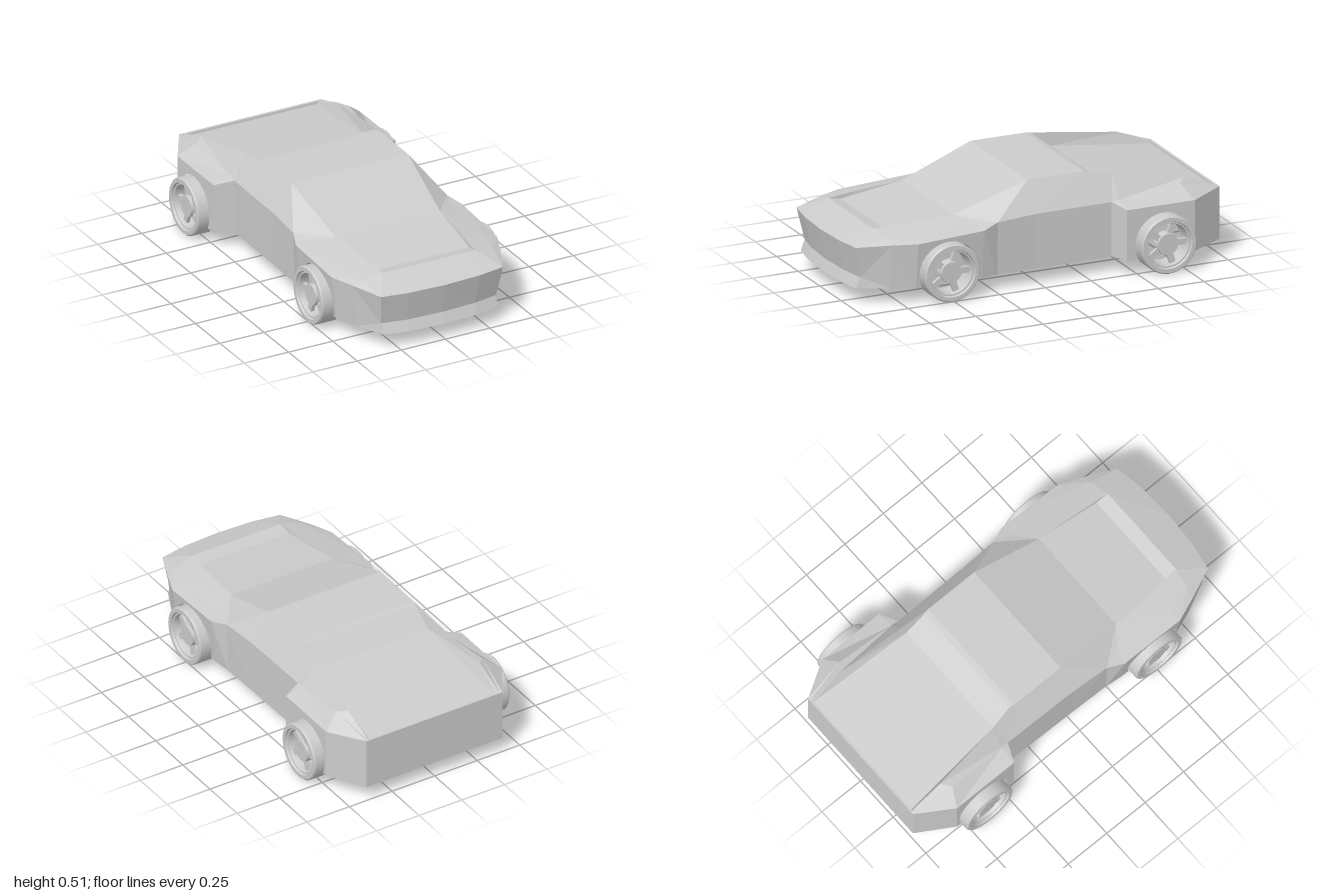
import * as THREE from 'three';
import { toCreasedNormals } from 'three/addons/utils/BufferGeometryUtils.js';

const SILL = 0.08, AXLE_Y = 0.15, ARCH_R = 0.156;
const bodyMat = new THREE.MeshStandardMaterial({ color: 0xcccccc, flatShading: true });
const wheelMat = new THREE.MeshStandardMaterial({ color: 0xcccccc });

// Collects flat faces for the left half and mirrors each one to the right.
class Panels {
  constructor() { this.pos = []; }
  face(...p) {
    for (let i = 1; i < p.length - 1; i++) {
      this.pos.push(...p[0], ...p[i], ...p[i + 1]);
      for (const [x, y, z] of [p[0], p[i + 1], p[i]]) this.pos.push(-x, y, z);
    }
  }
  // Fills a flat outline given in 2D; map turns each 2D point into 3D.
  fill(outline, map) {
    const pts = outline.map(([u, v]) => new THREE.Vector2(u, v));
    for (const t of THREE.ShapeUtils.triangulateShape(pts, [])) this.face(...t.map(i => map(outline[i])));
  }
  mesh(name) {
    const g = new THREE.BufferGeometry();
    g.setAttribute('position', new THREE.Float32BufferAttribute(this.pos, 3));
    g.computeVertexNormals();
    const m = new THREE.Mesh(g, bodyMat);
    m.name = name;
    return m;
  }
}

// Stations from front to back: a = top edge, m = crease, b = belt, d = sill
const stations = [
  { a: [0.26, 0.355, 0.83], m: [0.37, 0.333, 0.81], b: [0.42, 0.312, 0.8], d: [0.395, SILL, 0.8] },
  { a: [0.275, 0.365, 0.68], m: [0.40, 0.337, 0.68], b: [0.468, 0.315, 0.68], d: [0.44, SILL, 0.68] },
  { a: [0.295, 0.378, 0.41], m: [0.40, 0.352, 0.33], b: [0.47, 0.335, 0.32], d: [0.44, SILL, 0.32] },
  { a: [0.295, 0.378, 0.41], m: [0.435, 0.355, 0.23], b: [0.435, 0.355, 0.23], d: [0.43, SILL, 0.23] },
  { a: [0.33, 0.515, 0.02], m: [0.425, 0.365, 0.02], b: [0.425, 0.365, 0.02], d: [0.425, SILL, 0.02] },
  { a: [0.33, 0.515, -0.28], m: [0.42, 0.365, -0.4], b: [0.42, 0.365, -0.4], d: [0.42, SILL, -0.4] },
  { a: [0.347, 0.488, -0.44], m: [0.422, 0.372, -0.44], b: [0.515, 0.345, -0.44], d: [0.515, SILL, -0.44] },
  { a: [0.385, 0.425, -0.81], m: [0.43, 0.412, -0.77], b: [0.515, 0.345, -0.81], d: [0.515, SILL, -0.81] },
  { a: [0.385, 0.355, -1], m: [0.39, 0.355, -1], b: [0.4, 0.355, -1], d: [0.4, SILL, -1] },
];
const arches = { 1: { z: 0.51, xIn: 0.385, liner: true }, 6: { z: -0.64, xIn: 0.445, liner: false } };
const mid = p => [0, p[1], p[2]];
const lerp = THREE.MathUtils.lerp;

// Side panel with a round wheel opening cut up from the sill
function archPanel(P, f, r, arch) {
  const dip = Math.asin((AXLE_Y - SILL) / ARCH_R), arc = [], n = 18;
  for (let i = 0; i <= n; i++) {
    const t = lerp(Math.PI + dip, -dip, i / n);
    arc.push([-arch.z + ARCH_R * Math.cos(t), AXLE_Y + ARCH_R * Math.sin(t)]);
  }
  const map = ([u, v]) => {
    const t = (-u - f.b[2]) / (r.b[2] - f.b[2]);
    const k = (v - SILL) / (lerp(f.b[1], r.b[1], t) - SILL);
    return [lerp(lerp(f.d[0], r.d[0], t), lerp(f.b[0], r.b[0], t), k), v, -u];
  };
  P.fill([[-f.d[2], SILL], ...arc, [-r.d[2], SILL], [-r.b[2], r.b[1]], [-f.b[2], f.b[1]]], map);
  if (!arch.liner) return;
  const inner = arc.map(([u, v]) => [arch.xIn, v, -u]);
  for (let i = 0; i < n; i++) P.face(inner[i], inner[i + 1], map(arc[i + 1]), map(arc[i]));
  P.face(...inner.reverse());
}

function sides() {
  const P = new Panels();
  for (let i = 0; i < stations.length - 1; i++) {
    const f = stations[i], r = stations[i + 1];
    P.face(f.m, r.m, r.a, f.a);
    P.face(f.m, f.b, r.b, r.m);
    if (arches[i]) archPanel(P, f, r, arches[i]);
    else P.face(f.b, f.d, r.d, r.b);
  }
  const e = stations[8];
  P.face(mid(e.a), e.a, e.m, e.b, e.d, mid(e.d));
  return P.mesh('bodySides');
}

// Nose columns from the centre outward: top edge, indent, bottom edge
const noseCols = [[0, 1, 0], [0.2, 0.99, 0.19], [0.345, 0.965, 0.32]].map(([x, z, xb]) => [
  [x, 0.3, z], [lerp(x, xb, 0.8), 0.135, z - 0.035], [xb, SILL, z - 0.012]]);

function nose() {
  const P = new Panels(), s = stations[0];
  for (let c = 0; c < 2; c++)
    for (let k = 0; k < 2; k++)
      P.face(noseCols[c][k], noseCols[c][k + 1], noseCols[c + 1][k + 1], noseCols[c + 1][k]);
  const [n0, n1, n2] = noseCols.map(c => c[0]);
  P.face(n0, n1, s.a, mid(s.a));
  P.face(n1, n2, s.a);
  P.face(n2, s.b, s.m, s.a);
  P.face(noseCols[2][1], noseCols[2][2], s.d, s.b, n2);
  return P.mesh('nose');
}

// A strip across the centre line through the given edge points, front to back
function strip(P, edge) {
  for (let i = 0; i < edge.length - 1; i++)
    P.face(mid(edge[i]), edge[i], edge[i + 1], mid(edge[i + 1]));
}

function hood() {
  const P = new Panels(), [a0, a1, a2] = stations.map(s => s.a), low = [0.265, 0.34, 0.76];
  strip(P, [a0, low, a2]);
  P.face(low, a0, a1, a2);
  return P.mesh('hood');
}

function cabin() {
  const P = new Panels();
  strip(P, [stations[3].a, stations[4].a, stations[5].a]);
  return P.mesh('windshieldAndRoof');
}

// Sunken rear window and deck between the two sloping side fins
function rearDeck() {
  const P = new Panels(), [a5, a6, a7, a8] = stations.slice(5).map(s => s.a);
  const w0 = [0.325, 0.51, -0.31], w1 = [0.33, 0.425, -0.42], w2 = [0.372, 0.342, -0.985], lip = [0.374, 0.355, -0.987];
  strip(P, [a5, w0, w1, w2]);
  P.face(mid(w2), w2, lip, mid(lip));
  P.face(mid(lip), lip, a8, mid(a8));
  P.face(w1, w0, a5, a6);
  P.face(w1, a6, a7);
  P.face(w1, a7, w2);
  P.face(w2, a7, a8, lip);
  return P.mesh('rearDeck');
}

// Underside with notches for the wheels
function floorPan() {
  const P = new Panels(), half = Math.sqrt(ARCH_R ** 2 - (AXLE_Y - SILL) ** 2), outline = [[0, -1]];
  for (let i = stations.length - 1; i >= 0; i--) {
    const d = stations[i].d, arch = arches[i - 1];
    outline.push([d[0], d[2]]);
    if (!arch) continue;
    const zs = [arch.z - half, arch.z + half], x = lerp(d[0], stations[i - 1].d[0], 0.5);
    outline.push([x, zs[0]], [arch.xIn, zs[0]], [arch.xIn, zs[1]], [x, zs[1]]);
  }
  for (const c of [...noseCols].reverse()) outline.push([c[2][0], c[2][2]]);
  P.fill(outline, ([x, z]) => [x, SILL, z]);
  return P.mesh('floorPan');
}

function wheel(name, x, z, side) {
  const g = new THREE.Group();
  g.name = name;
  const add = (geo, part) => {
    const m = new THREE.Mesh(geo, wheelMat);
    m.name = part;
    g.add(m);
    return m;
  };
  // Tyre and rim ring as one closed profile
  const ring = [[0.108, -0.057], [0.144, -0.057], [0.15, -0.05], [0.15, 0.05], [0.144, 0.057], [0.124, 0.057],
    [0.12, 0.045], [0.112, 0.045], [0.106, 0.025], [0.108, -0.057]].map(p => new THREE.Vector2(...p));
  add(toCreasedNormals(new THREE.LatheGeometry(ring, 36), 0.6), 'tyre');
  add(new THREE.CylinderGeometry(0.055, 0.06, 0.045, 24).translate(0, 0.018, 0), 'hub');
  for (let i = 0; i < 5; i++) {
    const spoke = new THREE.BoxGeometry(0.065, 0.018, 0.032).translate(0.08, 0.018, 0);
    add(spoke, 'spoke').rotation.y = (i / 5) * Math.PI * 2 + 0.3;
  }
  g.rotation.z = -side * Math.PI / 2;
  g.position.set(side * x, AXLE_Y, z);
  return g;
}

export function createModel() {
  const car = new THREE.Group();
  car.name = 'car';
  car.add(sides(), nose(), hood(), cabin(), rearDeck(), floorPan());
  for (const side of [1, -1]) {
    const s = side > 0 ? 'Left' : 'Right';
    car.add(wheel('front' + s + 'Wheel', 0.4525, 0.51, side), wheel('rear' + s + 'Wheel', 0.5175, -0.645, side));
  }
  return car;
}
